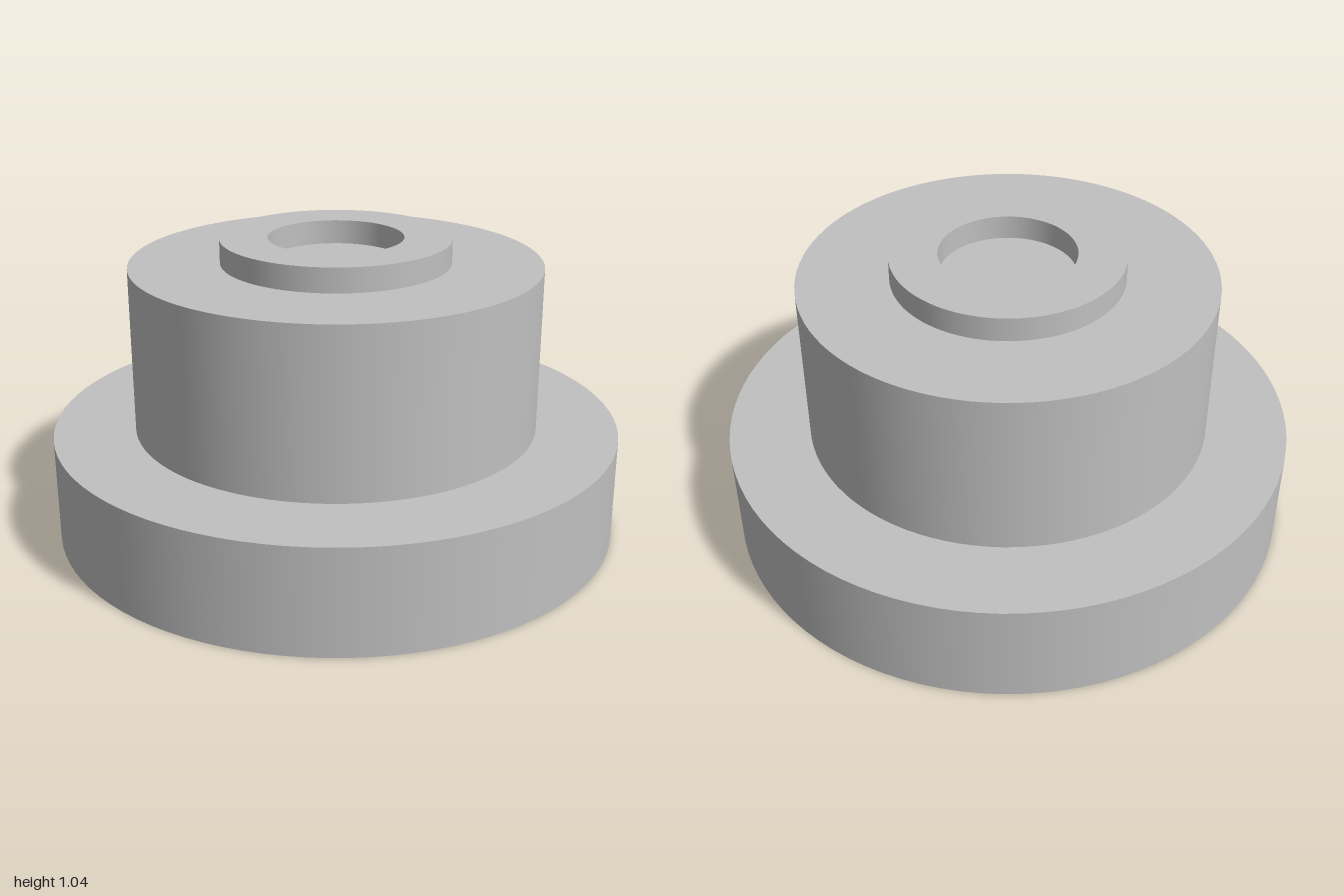
import * as THREE from 'three';
import { mergeGeometries } from 'three/addons/utils/BufferGeometryUtils.js';

const SEGMENTS = 96;

// Turned surface: each profile step is its own strip, so rims stay sharp and walls smooth
function turned(name, profile, material) {
  const strips = [];
  for (let i = 0; i < profile.length - 1; i++) {
    const pair = [profile[i], profile[i + 1]].map(([r, y]) => new THREE.Vector2(r, y));
    strips.push(new THREE.LatheGeometry(pair, SEGMENTS));
  }
  const mesh = new THREE.Mesh(mergeGeometries(strips), material);
  mesh.name = name;
  return mesh;
}

export function createModel() {
  const group = new THREE.Group();
  group.name = 'steppedHub';
  const grey = new THREE.MeshStandardMaterial({ color: 0xc0c0c0 });
  grey.name = 'plain grey';

  const flangeR = 1, barrelR = 0.715, collarR = 0.4, boreR = 0.235;
  const flangeTop = 0.37, barrelTop = 0.953, collarTop = 1.038;

  // Wide base disc with a closed underside
  group.add(turned('flange', [[0, 0], [flangeR, 0], [flangeR, flangeTop], [barrelR, flangeTop]], grey));
  // Main body and its shoulder
  group.add(turned('barrel', [[barrelR, flangeTop], [barrelR, barrelTop], [collarR, barrelTop]], grey));
  // Raised ring around the shallow bore
  group.add(turned('collar', [[collarR, barrelTop], [collarR, collarTop], [boreR, collarTop], [boreR, barrelTop]], grey));
  // Floor of the bore, level with the shoulder
  group.add(turned('boreFloor', [[boreR, barrelTop], [0, barrelTop]], grey));

  return group;
}
